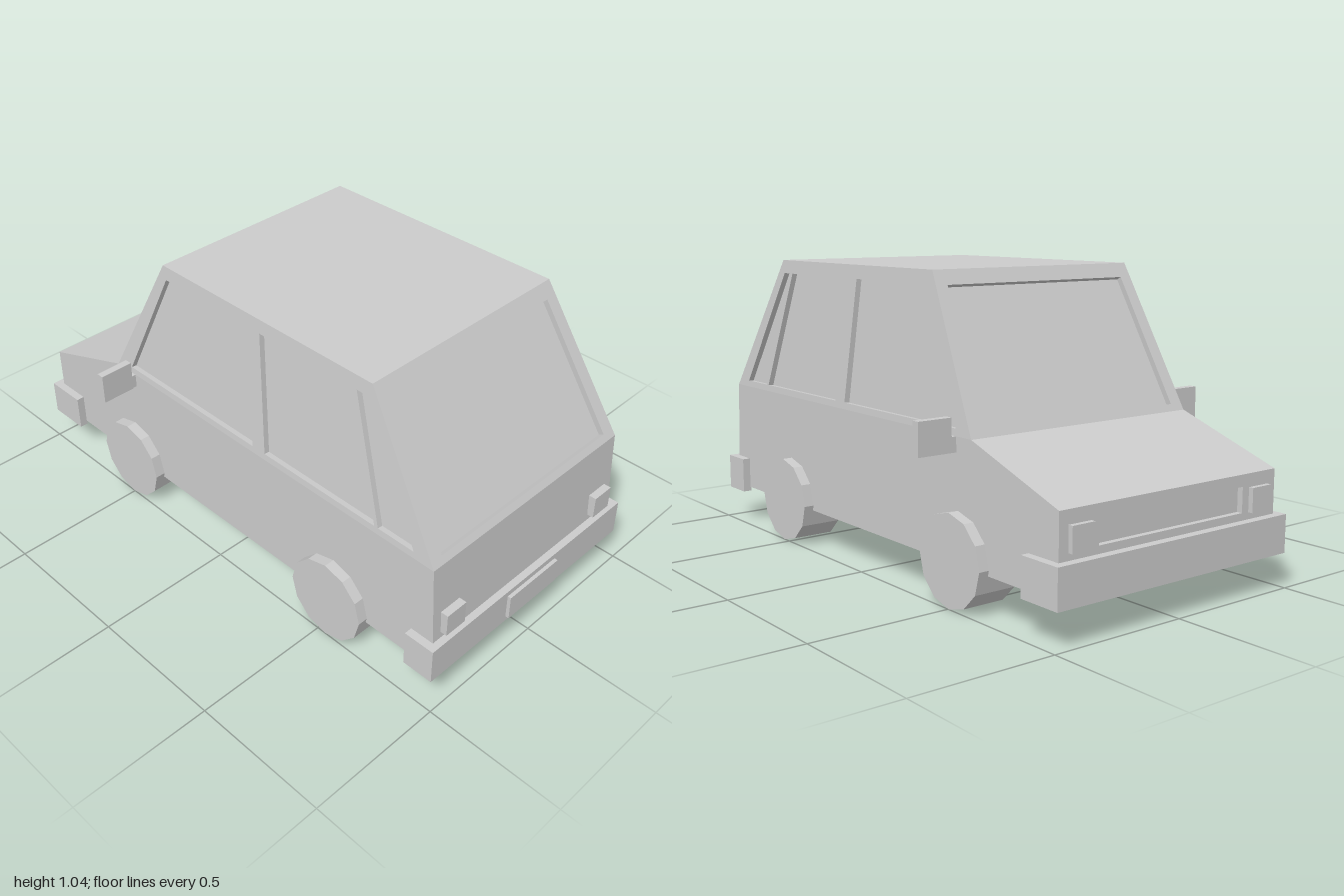
import * as THREE from 'three';

const mat = new THREE.MeshStandardMaterial({ color: 0xcccccc, flatShading: true });
const matDouble = new THREE.MeshStandardMaterial({ color: 0xcccccc, flatShading: true, side: THREE.DoubleSide });

const BELT = 0.54, ROOF = 1.038;
// Half width of the body: straight below the belt line, leaning in above it
const halfWidth = (y) => 0.463 - 0.045 * Math.max(0, (y - BELT) / (ROOF - BELT));
const V = (x, y, z) => new THREE.Vector3(x, y, z);

function add(parent, name, geometry, material = mat) {
  const mesh = new THREE.Mesh(geometry, material);
  mesh.name = name;
  parent.add(mesh);
  return mesh;
}

function box(parent, name, x0, x1, y0, y1, z0, z1) {
  const mesh = add(parent, name, new THREE.BoxGeometry(x1 - x0, y1 - y0, z1 - z0));
  mesh.position.set((x0 + x1) / 2, (y0 + y1) / 2, (z0 + z1) / 2);
  return mesh;
}

// Flat panel through 3D corners (counter-clockwise from outside), with recessed openings
function panel(parent, name, corners, openings = [], depth = 0.02, paneName = 'window') {
  const group = new THREE.Group();
  group.name = name;
  parent.add(group);
  const o = corners[0];
  const u = corners[1].clone().sub(o).normalize();
  const n = u.clone().cross(corners[2].clone().sub(o)).normalize();
  const v = n.clone().cross(u);
  group.applyMatrix4(new THREE.Matrix4().makeBasis(u, v, n).setPosition(o));
  const flat = (p) => {
    const d = p.clone().sub(o);
    return new THREE.Vector2(d.dot(u), d.dot(v));
  };

  const shape = new THREE.Shape(corners.map(flat));
  for (const opening of openings) {
    const pts = opening.map(flat);
    shape.holes.push(new THREE.Path(pts));
    // Recessed pane
    add(group, paneName, new THREE.ShapeGeometry(new THREE.Shape(pts)), matDouble).position.z = -depth;
    // Walls of the recess
    const pos = [];
    pts.forEach((a, i) => {
      const b = pts[(i + 1) % pts.length];
      pos.push(a.x, a.y, 0, b.x, b.y, 0, b.x, b.y, -depth);
      pos.push(a.x, a.y, 0, b.x, b.y, -depth, a.x, a.y, -depth);
    });
    const wall = new THREE.BufferGeometry();
    wall.setAttribute('position', new THREE.Float32BufferAttribute(pos, 3));
    wall.computeVertexNormals();
    add(group, paneName + 'Frame', wall, matDouble);
  }
  add(group, name + 'Skin', new THREE.ShapeGeometry(shape));
}

function createBody(car) {
  const body = new THREE.Group();
  body.name = 'body';
  car.add(body);

  // Side outline as [z, y], with the name of the strip leading to the next point
  const outline = [
    [0.968, 0.135, 'tailgate'], [0.945, BELT, 'rearScreen'], [0.64, ROOF, 'roof'],
    [-0.312, ROOF, 'windscreen'], [-0.57, BELT, 'bonnet'], [-0.97, 0.40, 'nose'], [-0.97, 0.135, 'floor'],
  ];
  outline.forEach(([z0, y0, name], i) => {
    const [z1, y1] = outline[(i + 1) % outline.length];
    const w0 = halfWidth(y0), w1 = halfWidth(y1);
    const openings = [];
    if (name === 'rearScreen' || name === 'windscreen') {
      // Trapezoid screen following the slope
      const at = (y, w) => {
        const z = z0 + (z1 - z0) * (y - y0) / (y1 - y0);
        return [V(-w, y, z), V(w, y, z)];
      };
      const [a, b] = at(0.563, 0.412), [d, c] = at(0.99, 0.377);
      openings.push([a, b, c, d]);
    }
    if (name === 'nose') {
      openings.push([V(-0.31, 0.275, z0), V(0.31, 0.275, z0), V(0.31, 0.36, z0), V(-0.31, 0.36, z0)]);
    }
    panel(body, name, [V(-w0, y0, z0), V(w0, y0, z0), V(w1, y1, z1), V(-w1, y1, z1)],
      openings, 0.02, name === 'nose' ? 'grille' : 'window');
  });

  // Side walls: lower flank and glazed upper flank
  const lower = [[0.968, 0.135], [-0.97, 0.135], [-0.97, 0.40], [-0.57, BELT], [0.945, BELT]];
  const upper = [[0.945, BELT], [-0.57, BELT], [-0.312, ROOF], [0.64, ROOF]];
  const windows = [
    [[0.155, 0.563], [-0.49, 0.563], [-0.295, 0.99], [0.125, 0.99]],
    [[0.703, 0.563], [0.213, 0.563], [0.163, 0.99], [0.567, 0.99]],
    [[0.863, 0.563], [0.718, 0.563], [0.582, 0.99], [0.625, 0.99]],
  ];
  for (const s of [1, -1]) {
    const side = s > 0 ? 'left' : 'right';
    const place = (pts) => {
      const r = pts.map(([z, y]) => V(s * halfWidth(y), y, z));
      return s > 0 ? r : r.reverse();
    };
    panel(body, side + 'Flank', place(lower));
    panel(body, side + 'Glazing', place(upper), windows.map(place));
  }
}

// Bumper wrapping round the corners; zEnd is the outer face, zTip the ends of the wings
function bumper(car, name, zEnd, zTip) {
  const s = Math.sign(zEnd), w = 0.492, inner = 0.46, back = zEnd - s * 0.035;
  const shape = new THREE.Shape([
    [-w, zEnd], [w, zEnd], [w, zTip], [inner, zTip], [inner, back], [-inner, back], [-inner, zTip], [-w, zTip],
  ].map(([x, z]) => new THREE.Vector2(x, z)));
  const geo = new THREE.ExtrudeGeometry(shape, { depth: 0.13, bevelEnabled: false });
  geo.rotateX(Math.PI / 2);
  add(car, name, geo).position.y = 0.25;
}

export function createModel() {
  const car = new THREE.Group();
  car.name = 'car';
  createBody(car);

  bumper(car, 'tailBumper', 0.987, 0.873);
  bumper(car, 'noseBumper', -1.0, -0.84);
  box(car, 'numberPlate', -0.125, 0.125, 0.14, 0.23, 0.975, 1.0);

  for (const s of [1, -1]) {
    const side = s > 0 ? 'left' : 'right';
    const pair = (name, a, b, ...rest) =>
      box(car, side + name, Math.min(s * a, s * b), Math.max(s * a, s * b), ...rest);

    // Lamps
    pair('TailLamp', 0.34, 0.427, 0.273, 0.355, 0.94, 0.983);
    pair('HeadLamp', 0.34, 0.427, 0.273, 0.355, -0.987, -0.95);

    // Door mirror on a short arm
    pair('MirrorArm', 0.44, 0.48, 0.49, 0.54, -0.495, -0.47);
    pair('Mirror', 0.48, 0.605, 0.49, 0.6, -0.495, -0.467);

    // Wheels
    for (const [name, z] of [['TailWheel', 0.533], ['NoseWheel', -0.503]]) {
      const geo = new THREE.CylinderGeometry(0.154, 0.154, 0.153, 12);
      geo.rotateZ(Math.PI / 2);
      add(car, side + name, geo).position.set(s * 0.4235, 0.154, z);
    }
  }
  return car;
}
